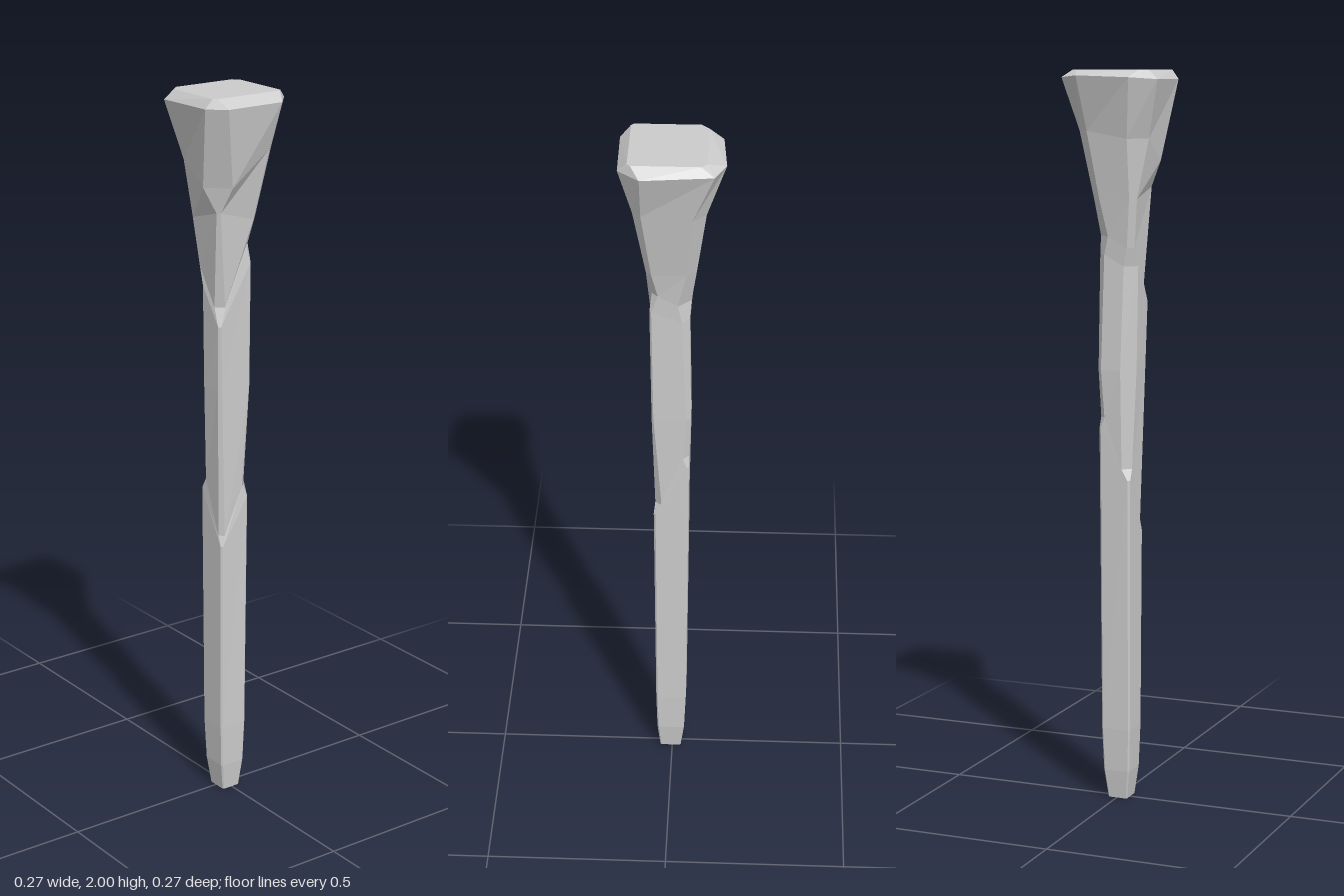
import * as THREE from 'three';

// Corners run counter-clockwise from above: front left, back left, back right, front right
const CORNERS = [[1, 1], [1, -1], [-1, -1], [-1, 1]];

// One rough-hewn square section: extents, corner chips and corner lifts
function section(y, x0, x1, z0, z1, chips, lifts = [0, 0, 0, 0]) {
  return CORNERS.flatMap(([sx, sz], i) => {
    const x = sx > 0 ? x1 : x0, z = sz > 0 ? z1 : z0, c = chips[i], h = y + lifts[i];
    const onZ = [x - sx * c, h, z], onX = [x, h, z - sz * c];
    return sx * sz > 0 ? [onZ, onX] : [onX, onZ];
  });
}

// Skins the sections and closes both ends
function loft(rings) {
  const pos = [], n = rings[0].length;
  const tri = (a, b, c) => pos.push(...a, ...b, ...c);
  for (let r = 0; r < rings.length - 1; r++) {
    for (let i = 0; i < n; i++) {
      const j = (i + 1) % n, lo = rings[r], hi = rings[r + 1];
      tri(lo[i], lo[j], hi[j]);
      tri(lo[i], hi[j], hi[i]);
    }
  }
  const top = rings[rings.length - 1];
  for (let i = 1; i < n - 1; i++) {
    tri(rings[0][0], rings[0][i + 1], rings[0][i]);
    tri(top[0], top[i], top[i + 1]);
  }
  const geo = new THREE.BufferGeometry();
  geo.setAttribute('position', new THREE.Float32BufferAttribute(pos, 3));
  geo.computeVertexNormals();
  return geo;
}

export function createModel() {
  const group = new THREE.Group();
  group.name = 'post';
  const material = new THREE.MeshStandardMaterial({ color: 0xcccccc, flatShading: true });
  const lowCut = [0.1, 0.26, 0.12, -0.03];
  const highCut = [0.16, 0.13, 0.1, 0];

  // Flared rim with irregular corners
  const rim = [
    [0.087, 1.975, 0.133], [0.135, 1.975, 0.077], [0.123, 1.98, -0.108], [0.07, 1.985, -0.137],
    [-0.075, 1.98, -0.127], [-0.137, 1.975, -0.077], [-0.13, 1.975, 0.095], [-0.085, 1.975, 0.135],
  ];
  const cap = section(2, -0.11, 0.105, -0.09, 0.108, [0.008, 0.015, 0.02, 0.008]);

  const rings = [
    // blunt foot
    section(0, -0.03, 0.025, -0.025, 0.035, [0.003, 0.003, 0.003, 0.003]),
    section(0.08, -0.04, 0.035, -0.035, 0.043, [0.004, 0.004, 0.004, 0.004]),
    section(0.2, -0.044, 0.039, -0.04, 0.046, [0.004, 0.004, 0.004, 0.004]),
    // lower slanting cut
    section(0.78, -0.046, 0.044, -0.046, 0.05, [0.005, 0.006, 0.006, 0.005], lowCut),
    section(0.81, -0.045, 0.043, -0.046, 0.046, [0.018, 0.016, 0.022, 0.012], lowCut),
    // worn shaft
    section(1.2, -0.055, 0.047, -0.051, 0.054, [0.005, 0.012, 0.034, 0.008]),
    // upper slanting cut
    section(1.38, -0.059, 0.047, -0.046, 0.058, [0.005, 0.02, 0.03, 0.006], highCut),
    section(1.43, -0.056, 0.049, -0.05, 0.052, [0.016, 0.034, 0.016, 0.02], highCut),
    // flaring head
    section(1.66, -0.068, 0.06, -0.064, 0.066, [0.014, 0.026, 0.016, 0.008], [0, 0, 0, 0.03]),
    section(1.82, -0.1, 0.095, -0.088, 0.098, [0.022, 0.035, 0.045, 0.055], [0.03, 0.02, 0, -0.06]),
    rim,
    cap,
  ];
  const post = new THREE.Mesh(loft(rings), material);
  post.name = 'hewnPost';
  group.add(post);
  return group;
}
